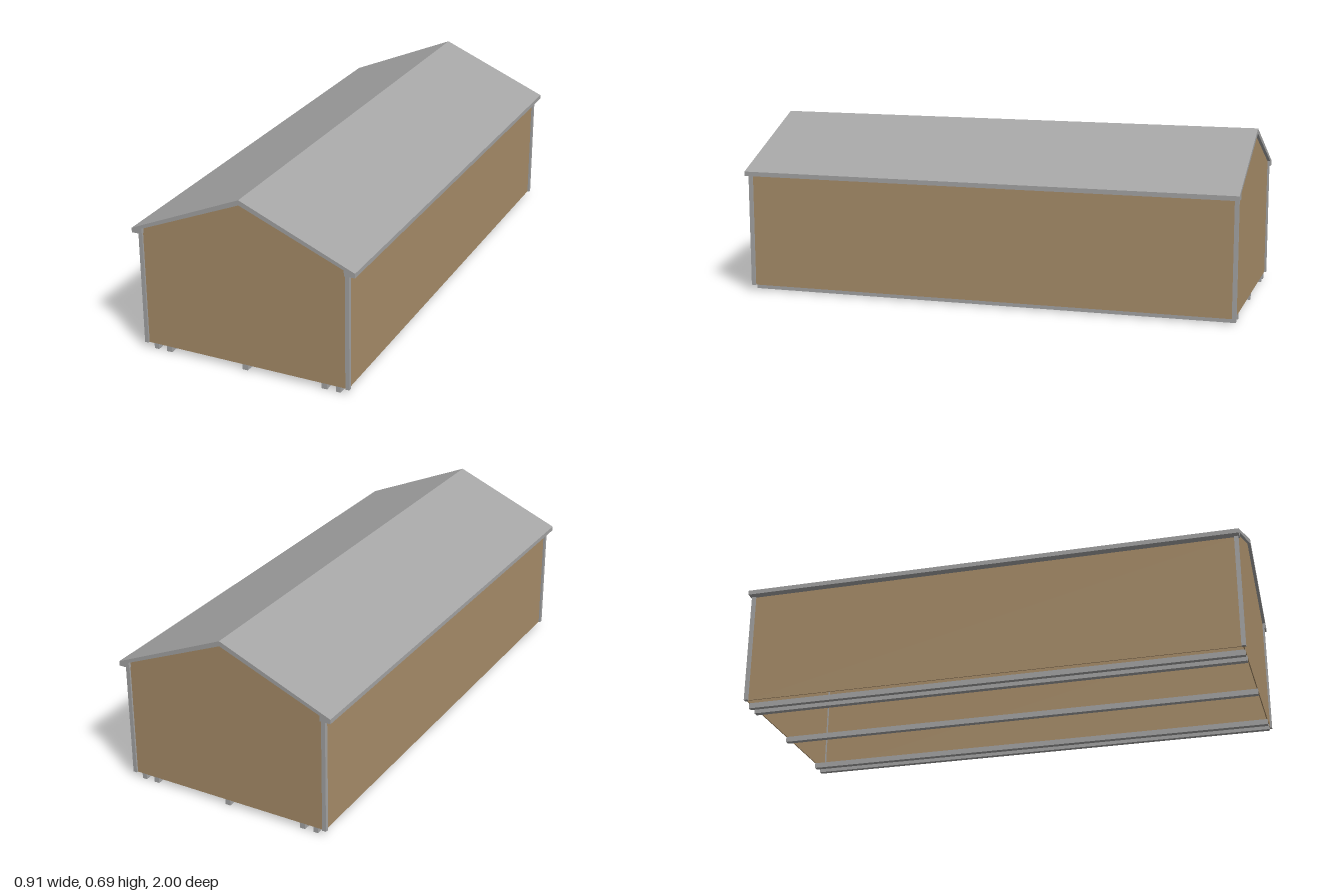
import * as THREE from 'three';

const tan = new THREE.MeshStandardMaterial({ color: 0xa98e6a });
tan.name = 'tan siding';
const grey = new THREE.MeshStandardMaterial({ color: 0xa5a5a5 });
grey.name = 'grey trim';

const FLOOR = 0.022, EAVE = 0.478, WALL_X = 0.42, WALL_Z = 0.988;

function add(parent, name, geometry, material, x = 0, y = 0, z = 0) {
  const mesh = new THREE.Mesh(geometry, material);
  mesh.name = name;
  mesh.position.set(x, y, z);
  parent.add(mesh);
  return mesh;
}

function box(parent, name, material, w, h, d, x, y, z) {
  return add(parent, name, new THREE.BoxGeometry(w, h, d), material, x, y, z);
}

// Extrude an x-y outline along z, centred on z = 0
function extrude(points, depth) {
  const shape = new THREE.Shape(points.map(([x, y]) => new THREE.Vector2(x, y)));
  return new THREE.ExtrudeGeometry(shape, { depth, bevelEnabled: false }).translate(0, 0, -depth / 2);
}

export function createModel() {
  const shed = new THREE.Group();
  shed.name = 'shed';

  // Gabled roof with boxed eaves
  add(shed, 'roof', extrude([
    [-0.453, EAVE], [-0.41, EAVE], [-0.41, 0.5], [0, 0.67], [0.41, 0.5], [0.41, EAVE],
    [0.453, EAVE], [0.453, 0.496], [0, 0.69], [-0.453, 0.496],
  ], 2), grey);

  // Thin ceiling lining under the roof slopes
  add(shed, 'ceiling', extrude([
    [-0.41, 0.499], [-0.41, 0.496], [0, 0.666], [0.41, 0.496], [0.41, 0.499], [0, 0.669],
  ], 2 * WALL_Z - 0.004), tan);

  // Gable end walls; the shell is open underneath
  const gable = extrude([
    [-WALL_X, FLOOR], [WALL_X, FLOOR], [WALL_X, EAVE], [0.41, EAVE], [0.41, 0.5],
    [0, 0.67], [-0.41, 0.5], [-0.41, EAVE], [-WALL_X, EAVE],
  ], 0.004);
  for (const s of [1, -1]) {
    add(shed, s > 0 ? 'frontWall' : 'backWall', gable, tan, 0, 0, s * (WALL_Z - 0.002));
  }

  // Long side walls and corner posts
  const h = EAVE - FLOOR, midY = (EAVE + FLOOR) / 2;
  for (const sx of [1, -1]) {
    box(shed, sx > 0 ? 'leftWall' : 'rightWall', tan, 0.004, h, 2 * WALL_Z - 0.004,
      sx * (WALL_X - 0.002), midY, 0);
    for (const sz of [1, -1]) {
      box(shed, 'cornerPost', grey, 0.016, h, 0.016, sx * 0.42, midY, sz * 0.987);
    }
  }

  // Skids running the full length beneath the walls
  for (const x of [-0.381, -0.325, 0, 0.325, 0.381]) {
    box(shed, 'skid', grey, Math.abs(x) > 0.35 ? 0.019 : 0.022, FLOOR, 2 * WALL_Z, x, FLOOR / 2, 0);
  }
  return shed;
}
